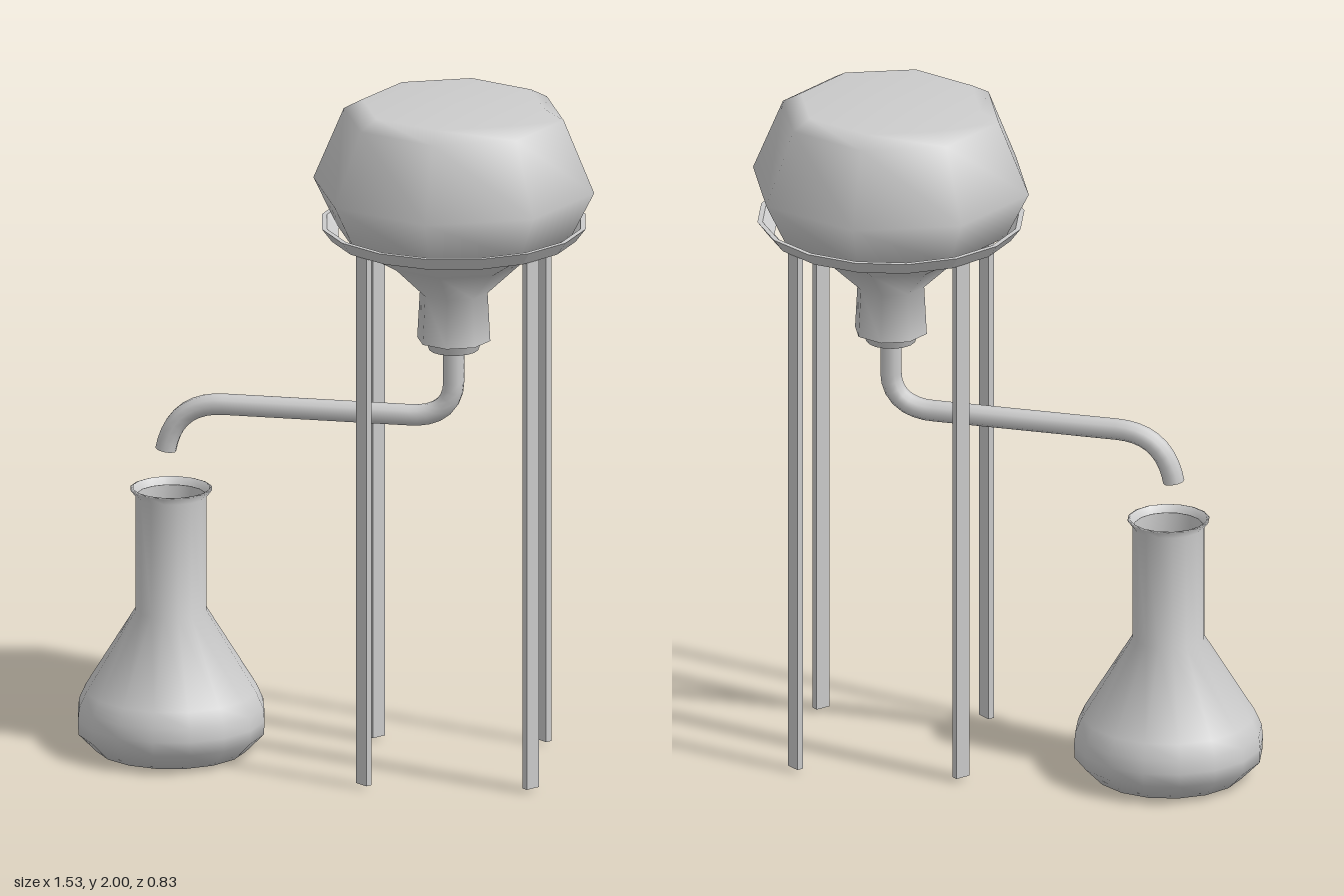
import * as THREE from 'three';

const grey = new THREE.MeshStandardMaterial({ color: 0xcccccc });
const thin = new THREE.MeshStandardMaterial({ color: 0xcccccc, side: THREE.DoubleSide });

const BULB_X = 0.345;
const FLASK_X = -0.49;

function lathe(name, profile, sides, material = thin) {
  const points = profile.map(([r, y]) => new THREE.Vector2(r, y));
  const mesh = new THREE.Mesh(new THREE.LatheGeometry(points, sides), material);
  mesh.name = name;
  return mesh;
}

// Coarse bulb hanging upside down, with an open neck and a stopper
function createBulb() {
  const bulb = new THREE.Group();
  bulb.name = 'invertedBulb';
  bulb.position.x = BULB_X;
  bulb.add(lathe('bulbGlass', [
    [0.108, 1.29], [0.1, 1.435], [0.2, 1.53], [0.345, 1.615],
    [0.415, 1.755], [0.325, 1.97], [0.27, 2], [0, 2],
  ], 8));
  const stopper = new THREE.Mesh(new THREE.CylinderGeometry(0.095, 0.072, 0.06, 16), grey);
  stopper.name = 'stopper';
  stopper.position.y = 1.29;
  bulb.add(stopper);
  return bulb;
}

// Flared ring on four flat legs, turned slightly about the bulb axis
function createStand() {
  const stand = new THREE.Group();
  stand.name = 'stand';
  stand.position.x = BULB_X;
  const ring = lathe('supportRing', [
    [0.375, 1.645], [0.34, 1.605], [0.36, 1.605], [0.39, 1.645], [0.375, 1.645],
  ], 16);
  ring.geometry = ring.geometry.toNonIndexed();
  ring.geometry.computeVertexNormals();
  stand.add(ring);

  const height = 1.6;
  const legGeometry = new THREE.BoxGeometry(0.046, height, 0.02);
  for (let i = 0; i < 4; i++) {
    const angle = THREE.MathUtils.degToRad(51.7 + i * 90);
    const leg = new THREE.Mesh(legGeometry, grey);
    leg.name = 'leg';
    leg.position.set(0.343 * Math.sin(angle), 0.01 + height / 2, 0.343 * Math.cos(angle));
    leg.rotation.y = angle;
    stand.add(leg);
  }
  return stand;
}

// Bent delivery tube from the stopper to just above the flask
function createTube() {
  const v = (x, y) => new THREE.Vector3(x, y, 0);
  const path = new THREE.CurvePath();
  path.add(new THREE.LineCurve3(v(BULB_X, 1.27), v(BULB_X, 1.15)));
  path.add(new THREE.QuadraticBezierCurve3(v(BULB_X, 1.15), v(0.335, 1.06), v(0.23, 1.053)));
  path.add(new THREE.LineCurve3(v(0.23, 1.053), v(-0.34, 1.053)));
  path.add(new THREE.QuadraticBezierCurve3(v(-0.34, 1.053), v(-0.48, 1.05), v(-0.506, 0.907)));
  const tube = new THREE.Group();
  tube.name = 'deliveryTube';
  const pipe = new THREE.Mesh(new THREE.TubeGeometry(path, 40, 0.031, 10), thin);
  pipe.name = 'pipe';
  const end = new THREE.Mesh(new THREE.CircleGeometry(0.031, 10), thin);
  end.name = 'pipeEnd';
  end.position.set(-0.506, 0.907, 0);
  end.lookAt(-0.532, 0.764, 0);
  tube.add(pipe, end);
  return tube;
}

// Open conical receiving flask
function createFlask() {
  const flask = lathe('conicalFlask', [
    [0, 0], [0.22, 0.005], [0.274, 0.06], [0.276, 0.1], [0.272, 0.14], [0.252, 0.185],
    [0.105, 0.425], [0.105, 0.77], [0.12, 0.79], [0.112, 0.793], [0.1, 0.77],
  ], 16);
  flask.position.x = FLASK_X;
  return flask;
}

export function createModel() {
  const model = new THREE.Group();
  model.name = 'distillingApparatus';
  model.add(createBulb(), createStand(), createTube(), createFlask());
  return model;
}
